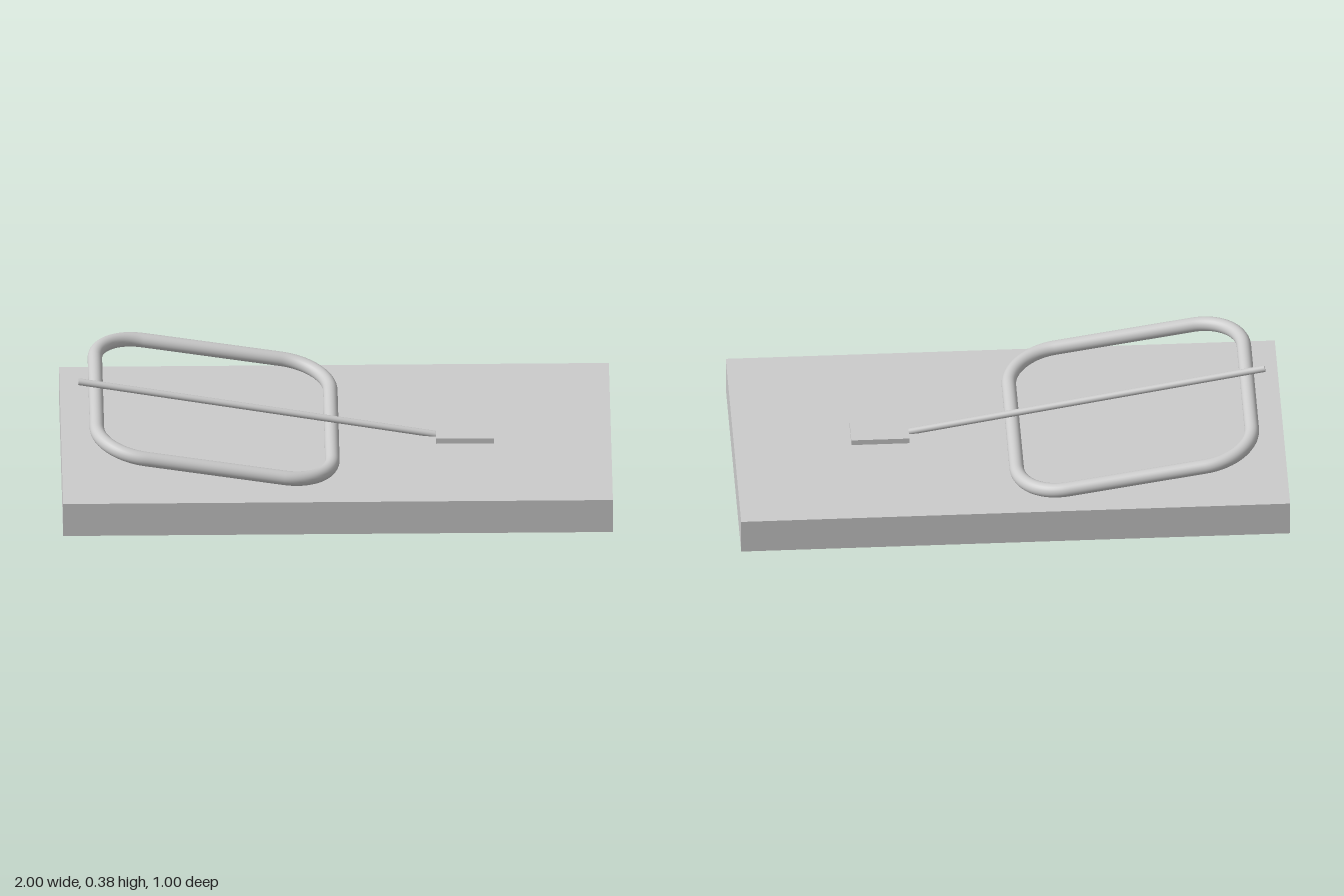
import * as THREE from 'three';

const material = new THREE.MeshStandardMaterial({ color: 0xcccccc });

function addPart(group, name, geometry, x, y, z) {
  const mesh = new THREE.Mesh(geometry, material);
  mesh.name = name;
  mesh.position.set(x, y, z);
  group.add(mesh);
  return mesh;
}

// Closed rounded square in the XZ plane, from straight runs and quarter arcs
class RoundedSquare extends THREE.Curve {
  constructor(half, radius) {
    super();
    this.half = half;
    this.radius = radius;
  }
  getPoint(t, target = new THREE.Vector3()) {
    const straight = 2 * (this.half - this.radius);
    const arc = (Math.PI / 2) * this.radius;
    const u = (((t % 1) + 1) % 1) * 4;
    const side = Math.floor(u);
    const d = (u - side) * (straight + arc);
    const c = straight / 2;
    let x = this.half, z = -c + d;
    if (d > straight) {
      const a = (d - straight) / this.radius;
      x = c + this.radius * Math.cos(a);
      z = c + this.radius * Math.sin(a);
    }
    return target.set(x, 0, z).applyAxisAngle(new THREE.Vector3(0, 1, 0), -side * Math.PI / 2);
  }
}

export function createModel() {
  const model = new THREE.Group();
  model.name = 'mousetrap';

  // Flat board
  addPart(model, 'base', new THREE.BoxGeometry(2, 0.134, 1), 0, 0.067, 0);

  // Tilted wire hoop
  const hoop = addPart(model, 'snapHoop',
    new THREE.TubeGeometry(new RoundedSquare(0.434, 0.18), 240, 0.0265, 24, true),
    -0.445, 0.234, -0.012);
  hoop.rotation.z = -Math.atan2(0.141, 0.856);

  // Long holding rod, sunk into the board beside the plate
  const start = new THREE.Vector3(-0.937, 0.368, 0.0145);
  const end = new THREE.Vector3(0.37, 0.135, 0.0145);
  const direction = end.clone().sub(start);
  const middle = start.clone().add(end).multiplyScalar(0.5);
  const rod = addPart(model, 'holdingRod',
    new THREE.CylinderGeometry(0.0125, 0.0125, direction.length(), 24),
    middle.x, middle.y, middle.z);
  rod.quaternion.setFromUnitVectors(new THREE.Vector3(0, 1, 0), direction.normalize());

  // Small trigger plate
  addPart(model, 'triggerPlate', new THREE.BoxGeometry(0.211, 0.022, 0.133), 0.468, 0.144, 0.0135);

  return model;
}
